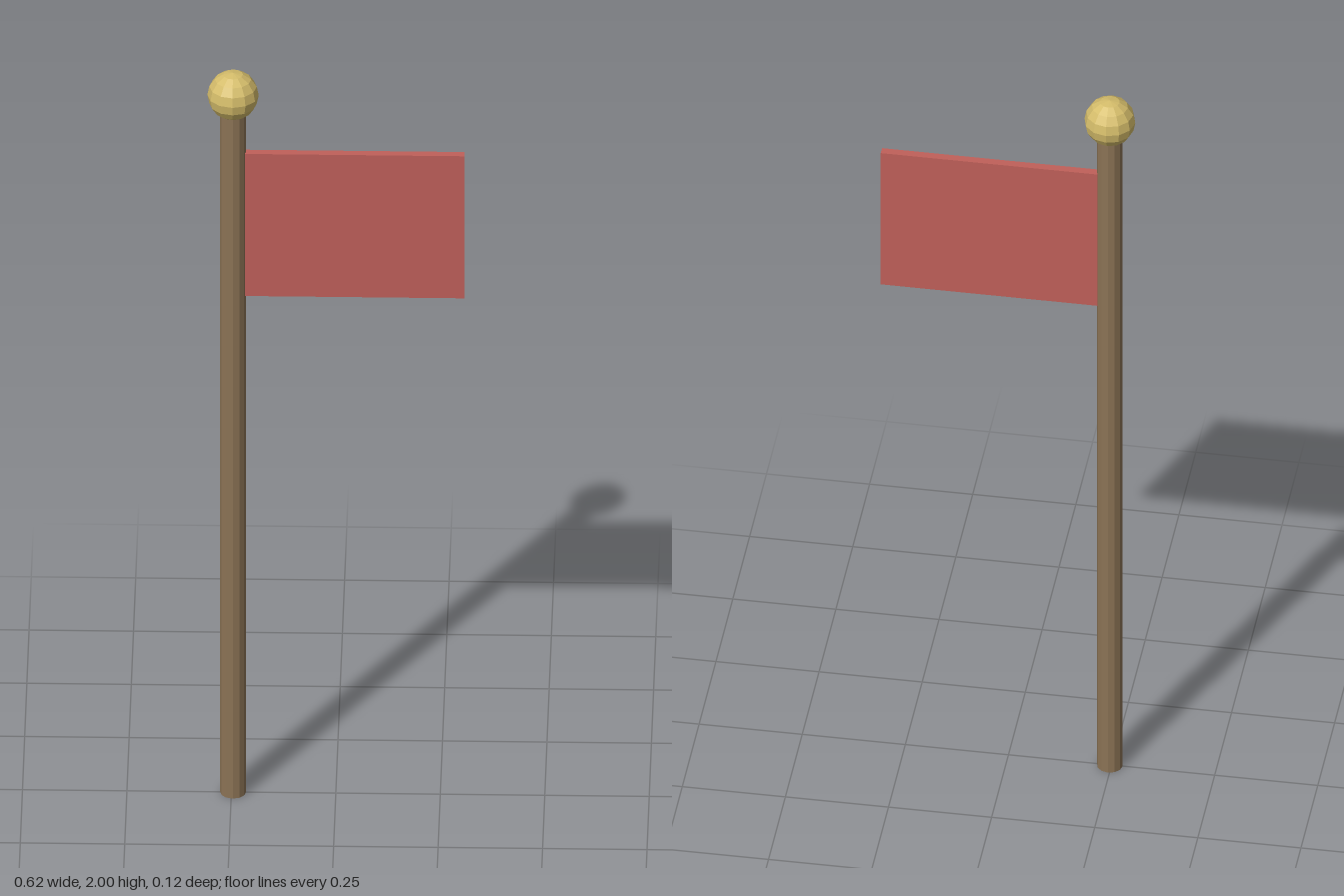
import * as THREE from 'three';

export function createModel() {
  const group = new THREE.Group();
  const material = (name, color) => {
    const m = new THREE.MeshStandardMaterial({ color, flatShading: true });
    m.name = name;
    return m;
  };
  const add = (name, geometry, mat, x, y) => {
    const mesh = new THREE.Mesh(geometry, mat);
    mesh.name = name;
    mesh.position.set(x, y, 0);
    group.add(mesh);
  };

  const poleX = -0.246, poleHeight = 1.908, ballRadius = 0.0615;

  // Upright pole
  add('pole', new THREE.CylinderGeometry(0.031, 0.031, poleHeight, 12),
    material('brown wood', 0x8b7355), poleX, poleHeight / 2);

  // Faceted ball on top of the pole
  add('finial', new THREE.SphereGeometry(ballRadius, 12, 8),
    material('gold', 0xd4bc6a), poleX, 2 - ballRadius);

  // Stiff flag, starting at the pole's axis
  const flagLength = 0.554;
  add('flag', new THREE.BoxGeometry(flagLength, 0.395, 0.02),
    material('red cloth', 0xc0605a), poleX + flagLength / 2, 1.583);

  return group;
}
